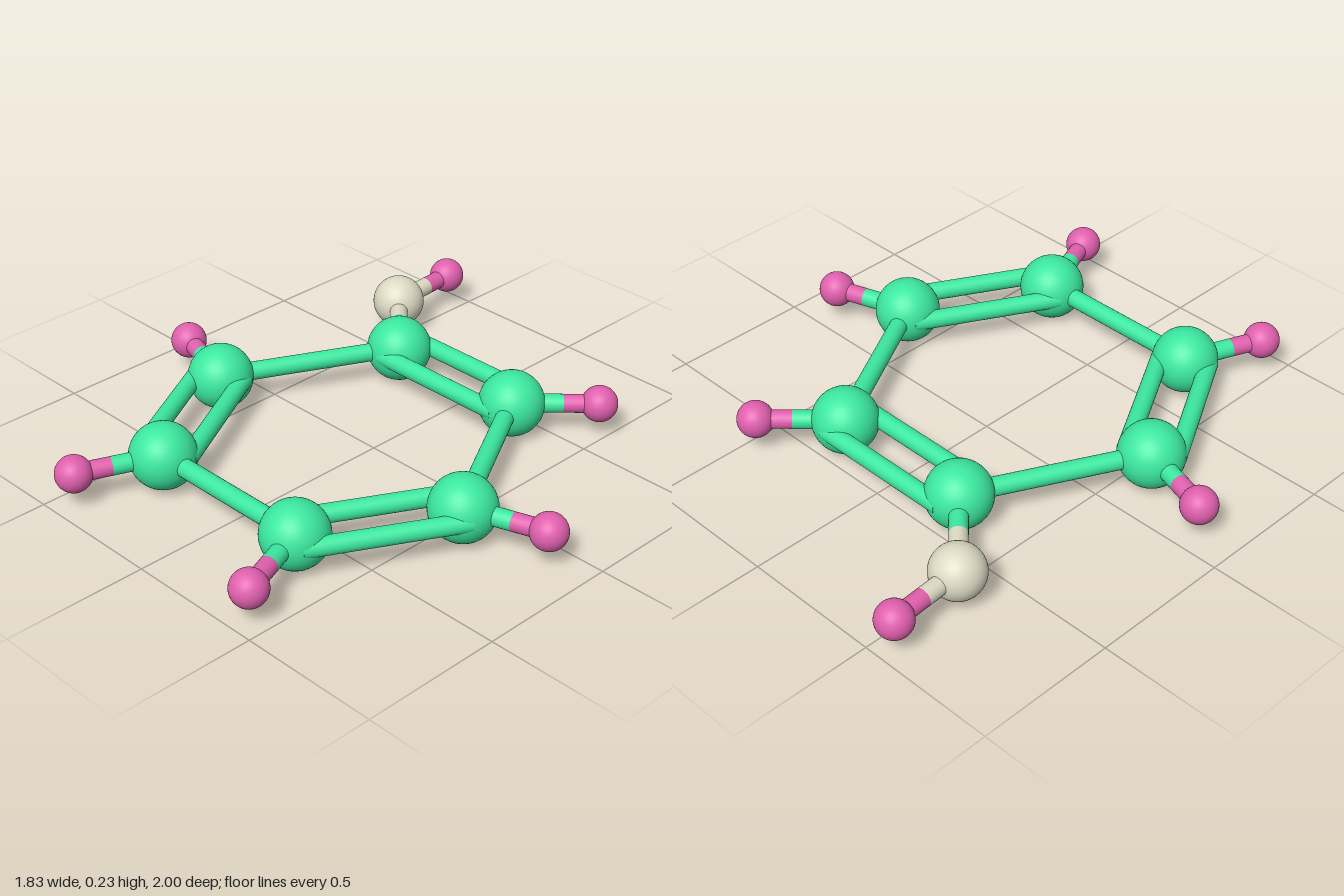
import * as THREE from 'three';

const Y = 0.114; // height of the flat molecule's plane
const kinds = {
  ring: { r: 0.114, material: new THREE.MeshStandardMaterial({ color: 0x3ce8a0 }) },
  link: { r: 0.093, material: new THREE.MeshStandardMaterial({ color: 0xdddac4 }) },
  tip: { r: 0.063, material: new THREE.MeshStandardMaterial({ color: 0xe060ae }) },
};

// [kind, x, z]
const atoms = [
  ['ring', -0.286, -0.407], ['ring', 0.251, -0.407], ['ring', 0.574, 0.175],
  ['ring', 0.315, 0.646], ['ring', -0.317, 0.646], ['ring', -0.579, 0.175],
  ['link', -0.542, -0.661], ['tip', -0.561, -0.938],
  ['tip', 0.463, -0.616], ['tip', 0.849, 0.083], ['tip', 0.426, 0.931],
  ['tip', -0.431, 0.921], ['tip', -0.854, 0.088],
].map(([kind, x, z]) => ({ kind, ...kinds[kind], pos: new THREE.Vector3(x, Y, z) }));

// [atom, atom, number of rods]
const bonds = [
  [0, 1, 2], [1, 2, 1], [2, 3, 2], [3, 4, 1], [4, 5, 2], [5, 0, 1],
  [0, 6, 1], [6, 7, 1], [1, 8, 1], [2, 9, 1], [3, 10, 1], [4, 11, 1], [5, 12, 1],
];

function rod(a, b, material) {
  const dir = b.clone().sub(a);
  const mesh = new THREE.Mesh(new THREE.CylinderGeometry(0.032, 0.032, dir.length(), 24), material);
  mesh.position.copy(a).add(b).multiplyScalar(0.5);
  mesh.quaternion.setFromUnitVectors(new THREE.Vector3(0, 1, 0), dir.normalize());
  mesh.name = 'bondRod';
  return mesh;
}

export function createModel() {
  const model = new THREE.Group();
  model.name = 'molecule';

  // Atoms
  for (const { kind, r, material, pos } of atoms) {
    const ball = new THREE.Mesh(new THREE.SphereGeometry(r, 40, 24), material);
    ball.position.copy(pos);
    ball.name = kind + 'Atom';
    model.add(ball);
  }

  // Bonds, coloured half and half between the two atom surfaces
  for (const [i, j, count] of bonds) {
    const a = atoms[i], b = atoms[j];
    const bond = new THREE.Group();
    bond.name = count === 2 ? 'doubleBond' : 'singleBond';
    const dir = b.pos.clone().sub(a.pos);
    const split = 0.5 + (a.r - b.r) / (2 * dir.length());
    const side = new THREE.Vector3(-dir.z, 0, dir.x).normalize();
    for (const offset of count === 2 ? [-0.084, 0.084] : [0]) {
      const start = a.pos.clone().addScaledVector(side, offset);
      const end = b.pos.clone().addScaledVector(side, offset);
      const middle = start.clone().lerp(end, split);
      bond.add(rod(start, middle, a.material), rod(middle, end, b.material));
    }
    model.add(bond);
  }
  return model;
}
